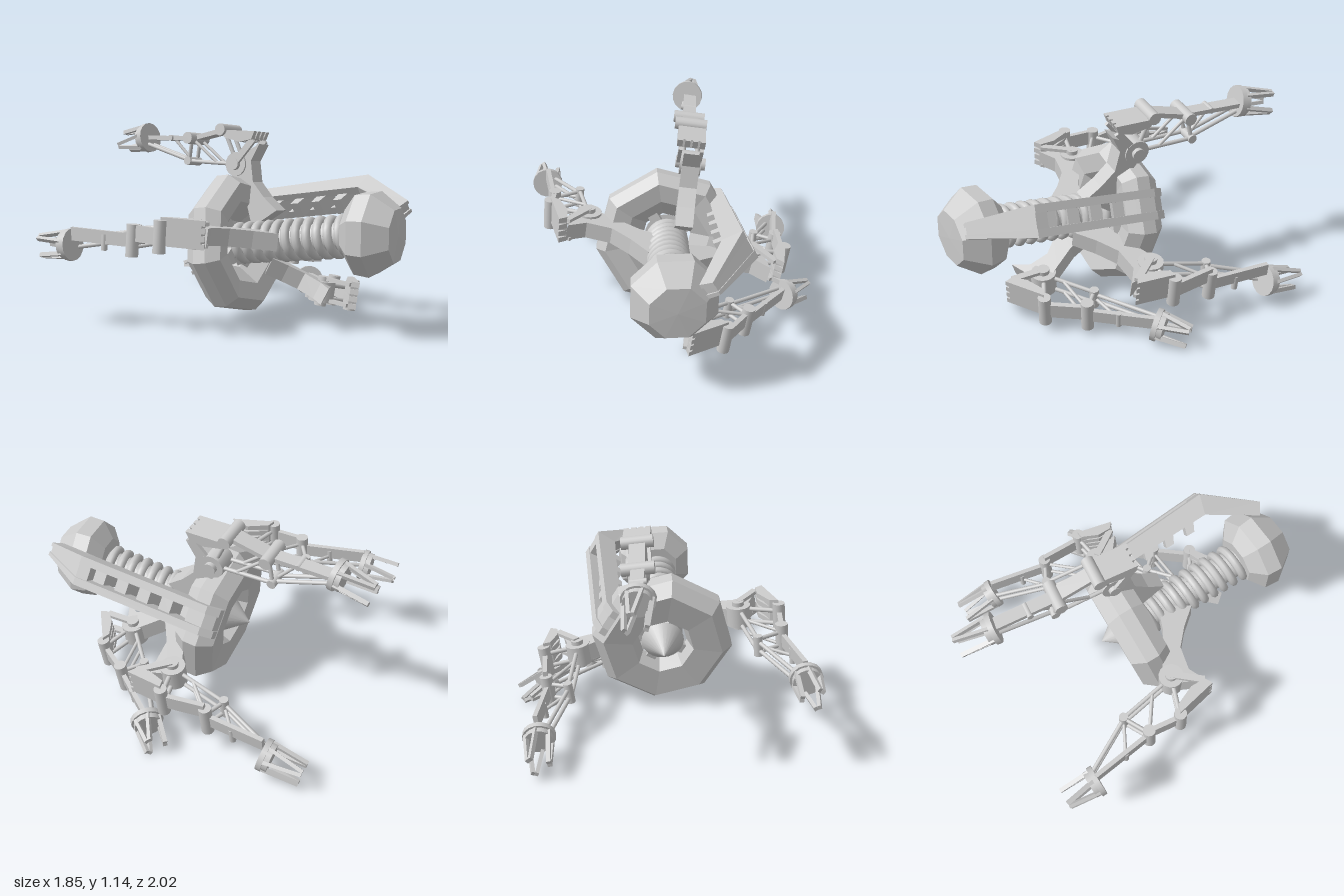
import * as THREE from 'three';

const V = (x, y, z) => new THREE.Vector3(x, y, z);
const flat = new THREE.MeshStandardMaterial({ color: 0xcccccc, flatShading: true, side: THREE.DoubleSide });
const smooth = new THREE.MeshStandardMaterial({ color: 0xcccccc });

function add(parent, name, geometry, material = flat) {
  const mesh = new THREE.Mesh(geometry, material);
  mesh.name = name;
  parent.add(mesh);
  return mesh;
}

// Round bar between two points
function rod(parent, name, a, b, r, r2 = r, sides = 12) {
  const d = b.clone().sub(a);
  const mesh = add(parent, name, new THREE.CylinderGeometry(r2, r, d.length(), sides), smooth);
  mesh.position.copy(a).addScaledVector(d, 0.5);
  mesh.quaternion.setFromUnitVectors(V(0, 1, 0), d.normalize());
  return mesh;
}

// Pin centred on a point
function pin(parent, name, p, axis, r, length) {
  return rod(parent, name, p.clone().addScaledVector(axis, -length / 2), p.clone().addScaledVector(axis, length / 2), r, r, 16);
}

// Flat plate through points lying across the normal n, shifted along n
function plate(parent, name, pts, n, thick, shift = 0) {
  const e1 = pts[1].clone().sub(pts[0]).projectOnPlane(n).normalize();
  const e2 = n.clone().cross(e1);
  const shape = new THREE.Shape(pts.map(p => {
    const q = p.clone().sub(pts[0]);
    return new THREE.Vector2(q.dot(e1), q.dot(e2));
  }));
  const g = new THREE.ExtrudeGeometry(shape, { depth: thick, bevelEnabled: false });
  g.translate(0, 0, shift - thick / 2);
  g.applyMatrix4(new THREE.Matrix4().makeBasis(e1, e2, n).setPosition(pts[0]));
  return add(parent, name, g);
}

// Straight bar of rectangular section
function bar(parent, name, a, b, n, width, thick, shift = 0) {
  const s = b.clone().sub(a).cross(n).normalize().multiplyScalar(width / 2);
  return plate(parent, name, [a.clone().add(s), b.clone().add(s), b.clone().sub(s), a.clone().sub(s)], n, thick, shift);
}

// Octagonal solid of revolution along z; profile is [radius, z], corner is the angle of one corner
function octagon(parent, name, profile, corner) {
  const pts = profile.map(([r, z]) => new THREE.Vector2(r, z));
  const g = new THREE.LatheGeometry(pts, 8, THREE.MathUtils.degToRad(corner + 90));
  g.rotateX(Math.PI / 2);
  return add(parent, name, g);
}

// Core: ring, cone, coiled neck, head and side beam, all on one slanted axis
function makeCore() {
  const core = new THREE.Group();
  core.name = 'core';
  core.position.set(0.06, 0.43, -0.05);
  core.quaternion.setFromUnitVectors(V(0, 0, 1), V(0.28, 0.16, 1).normalize());

  octagon(core, 'bodyRing', [[0.145, 0.03], [0.18, -0.07], [0.35, -0.08], [0.415, 0], [0.415, 0.08], [0.36, 0.15], [0.25, 0.13], [0.145, 0.03]], 53.5);
  const head = octagon(core, 'head', [[0, -0.16], [0.14, -0.16], [0.235, -0.09], [0.245, 0], [0.155, 0.125], [0, 0.13]], 22.5);
  head.position.set(0.01, 0, 0.935);
  head.rotation.set(0.14, 0.08, 0);

  rod(core, 'rearCone', V(0, 0, 0), V(0, 0, -0.16), 0.125, 0.001, 24);
  rod(core, 'neckCore', V(0, 0, -0.02), V(0, 0, 0.84), 0.085, 0.085, 20);
  for (let i = 0; i < 4; i++) {
    const a = THREE.MathUtils.degToRad(31 + i * 90);
    bar(core, 'ringStrut', V(0, 0, 0.03), V(Math.cos(a) * 0.25, Math.sin(a) * 0.25, 0.03), V(0, 0, 1), 0.06, 0.06);
  }

  // Coil around the neck
  const coil = [];
  for (let i = 0; i <= 132; i++) {
    const a = (i / 12) * Math.PI * 2;
    coil.push(V(Math.cos(a) * 0.1, Math.sin(a) * 0.1, 0.06 + i * 0.0056));
  }
  add(core, 'neckCoil', new THREE.TubeGeometry(new THREE.CatmullRomCurve3(coil), 264, 0.026, 8), smooth);

  // Beam of two rails joined by slanted slats, bent in and narrowing to the head
  const beam = new THREE.Group();
  beam.name = 'sideBeam';
  beam.rotation.z = THREE.MathUtils.degToRad(31);
  core.add(beam);
  const T = V(0, 1, 0);
  const at = (z, r) => V(r, 0, z);
  const narrow = mesh => {
    const p = mesh.geometry.attributes.position;
    for (let i = 0; i < p.count; i++) {
      const t = THREE.MathUtils.clamp((p.getZ(i) - 0.77) / 0.3, 0, 1);
      p.setY(i, p.getY(i) * (1 - 0.55 * t));
    }
  };
  const side = [at(-0.08, 0.34), at(-0.07, 0.38), at(0, 0.42), at(0.77, 0.47), at(1.07, 0.24), at(1.03, 0.17), at(0.74, 0.35), at(0, 0.33)];
  for (const s of [-1, 1]) narrow(plate(beam, 'rail', side, T, 0.045, s * 0.063));
  narrow(plate(beam, 'beamElbow', [at(0.7, 0.36), at(0.7, 0.46), at(0.77, 0.465), at(1.06, 0.24), at(1.02, 0.18), at(0.74, 0.36)], T, 0.085));
  plate(beam, 'beamFoot', [at(-0.08, 0.34), at(-0.06, 0.38), at(0, 0.41), at(0.1, 0.41), at(0.1, 0.33)], T, 0.085);
  for (let i = 0; i < 4; i++) {
    const z = 0.17 + i * 0.14;
    plate(beam, 'slat', [at(z, 0.29), at(z + 0.05, 0.29), at(z + 0.1, 0.4), at(z + 0.03, 0.4)], T, 0.1);
  }
  return core;
}

// Gripper: wrist disc with three V-shaped fingers
function makeGripper(parent, wrist, tip) {
  const hand = new THREE.Group();
  hand.name = 'gripper';
  hand.position.copy(wrist);
  hand.quaternion.setFromUnitVectors(V(0, 0, 1), tip.clone().sub(wrist).normalize());
  parent.add(hand);
  const reach = tip.distanceTo(wrist);
  pin(hand, 'wristDisc', V(0, 0, 0), V(0, 0, 1), 0.092, 0.03);
  pin(hand, 'wristCollar', V(0, 0, 0.015), V(0, 0, 1), 0.08, 0.06);
  for (let i = 0; i < 3; i++) {
    const a = Math.PI / 2 + (i * Math.PI * 2) / 3;
    const out = V(Math.cos(a), Math.sin(a), 0);
    const across = V(-Math.sin(a), Math.cos(a), 0);
    const end = out.clone().multiplyScalar(0.075).add(V(0, 0, reach));
    for (const s of [-1, 1]) {
      const base = out.clone().multiplyScalar(0.062).addScaledVector(across, s * 0.042);
      bar(hand, 'fingerBar', base, end.clone().addScaledVector(across, s * 0.01), out, 0.02, 0.024);
    }
  }
}

// Arm: bracket, ribbed knuckle, linkage and gripper; n is the hinge axis
function makeArm(name, { n, root, S, K, M1, M2, N, W, tip }) {
  const arm = new THREE.Group();
  arm.name = name;
  n.normalize();

  // Flared bracket from the neck to the shoulder
  const u = S.clone().sub(root).normalize();
  const across = n.clone().projectOnPlane(u).normalize();
  const v = across.clone().cross(u);
  if (v.dot(K.clone().sub(S)) < 0) v.negate();
  const mix = (t, w) => root.clone().lerp(S, t).addScaledVector(v, w);
  plate(arm, 'bracket', [mix(0, -0.09), mix(0.35, -0.055), mix(0.75, -0.05), mix(1, -0.05), mix(1.1, 0.02),
    mix(1.04, 0.2), mix(0.9, 0.1), mix(0.6, 0.05), mix(0.3, 0.07), mix(0, 0.11)], across, 0.1);

  pin(arm, 'shoulder', S, n, 0.072, 0.12);
  pin(arm, 'shoulderPin', S, n, 0.035, 0.17);

  // Knuckle of four blunt ribs
  const nose = K.clone().lerp(M1, 0.08), back = K.clone().lerp(S, 0.24), front = M1.clone().lerp(S, 0.22);
  const belly = K.clone().lerp(M1, 0.4).lerp(S, 0.34);
  for (let i = 0; i < 4; i++) plate(arm, 'knuckleRib', [nose, M1, front, belly, back], n, 0.03, (i - 1.5) * 0.042);
  plate(arm, 'knuckleWeb', [nose.clone().lerp(M1, 0.08), M1, front, back], n, 0.12);
  for (const s of [-1, 1]) bar(arm, 'knuckleArm', back, S, n, 0.04, 0.02, s * 0.06);

  pin(arm, 'upperHinge', M1, n, 0.036, 0.18);
  pin(arm, 'elbowHinge', M2, n, 0.036, 0.18);
  pin(arm, 'lowerHinge', N, n, 0.026, 0.12);

  // Truss and forearm
  for (const s of [-1, 1]) {
    const o = p => p.clone().addScaledVector(n, s * 0.04);
    rod(arm, 'lowerLink', o(S), o(N), 0.012);
    rod(arm, 'shoulderLink', o(S), o(M1), 0.013);
    rod(arm, 'elbowLink', o(M2), o(N), 0.012);
    rod(arm, 'diagonalLink', o(S.clone().lerp(N, 0.4)), o(M2), 0.01);
    const half = p => p.clone().addScaledVector(n, s * 0.025);
    rod(arm, 'forearmRod', half(N), half(W).addScaledVector(N.clone().sub(M2), 0.25), 0.012);
  }
  bar(arm, 'upperLink', M1, M2, n, 0.028, 0.09);
  bar(arm, 'forearm', M2, W, n, 0.026, 0.075);
  rod(arm, 'forearmBrace', N, M2.clone().lerp(W, 0.45), 0.01);
  pin(arm, 'forearmPin', M2.clone().lerp(W, 0.45), n, 0.018, 0.09);

  makeGripper(arm, W, tip);
  return arm;
}

const arms = {
  topArm: {
    n: V(1, -0.12, -0.2), root: V(0.2, 0.58, 0.12), S: V(0.19, 0.89, -0.1), K: V(0.23, 1.09, 0.06), M1: V(0.17, 1.09, -0.19),
    M2: V(0.11, 1.03, -0.42), N: V(0.11, 0.89, -0.45), W: V(0.02, 1.02, -0.78), tip: V(-0.01, 0.98, -0.99),
  },
  rightArm: {
    n: V(0.08, 1, 0), root: V(0.08, 0.49, 0.25), S: V(-0.36, 0.56, 0.12), K: V(-0.46, 0.59, 0.35), M1: V(-0.6, 0.57, 0.11),
    M2: V(-0.64, 0.53, -0.08), N: V(-0.52, 0.53, -0.2), W: V(-0.81, 0.48, -0.43), tip: V(-0.87, 0.46, -0.62),
  },
  leftArm: {
    n: V(0.15, 1, 0), root: V(0.2, 0.41, 0.18), S: V(0.56, 0.32, -0.1), K: V(0.77, 0.32, 0.06), M1: V(0.74, 0.29, -0.18),
    M2: V(0.65, 0.23, -0.42), N: V(0.52, 0.24, -0.44), W: V(0.59, 0.15, -0.78), tip: V(0.53, 0.1, -0.99),
  },
  lowerArm: {
    n: V(0.16, 1, 0.05), root: V(0.12, 0.34, 0.22), S: V(0.32, 0.19, 0.45), K: V(0.36, 0.19, 0.69), M1: V(0.53, 0.14, 0.49),
    M2: V(0.61, 0.12, 0.27), N: V(0.49, 0.14, 0.2), W: V(0.77, 0.1, -0.08), tip: V(0.87, 0.07, -0.23),
  },
};

export function createModel() {
  const model = new THREE.Group();
  model.name = 'clawedMachine';
  model.add(makeCore());
  for (const [name, joints] of Object.entries(arms)) model.add(makeArm(name, joints));
  return model;
}
